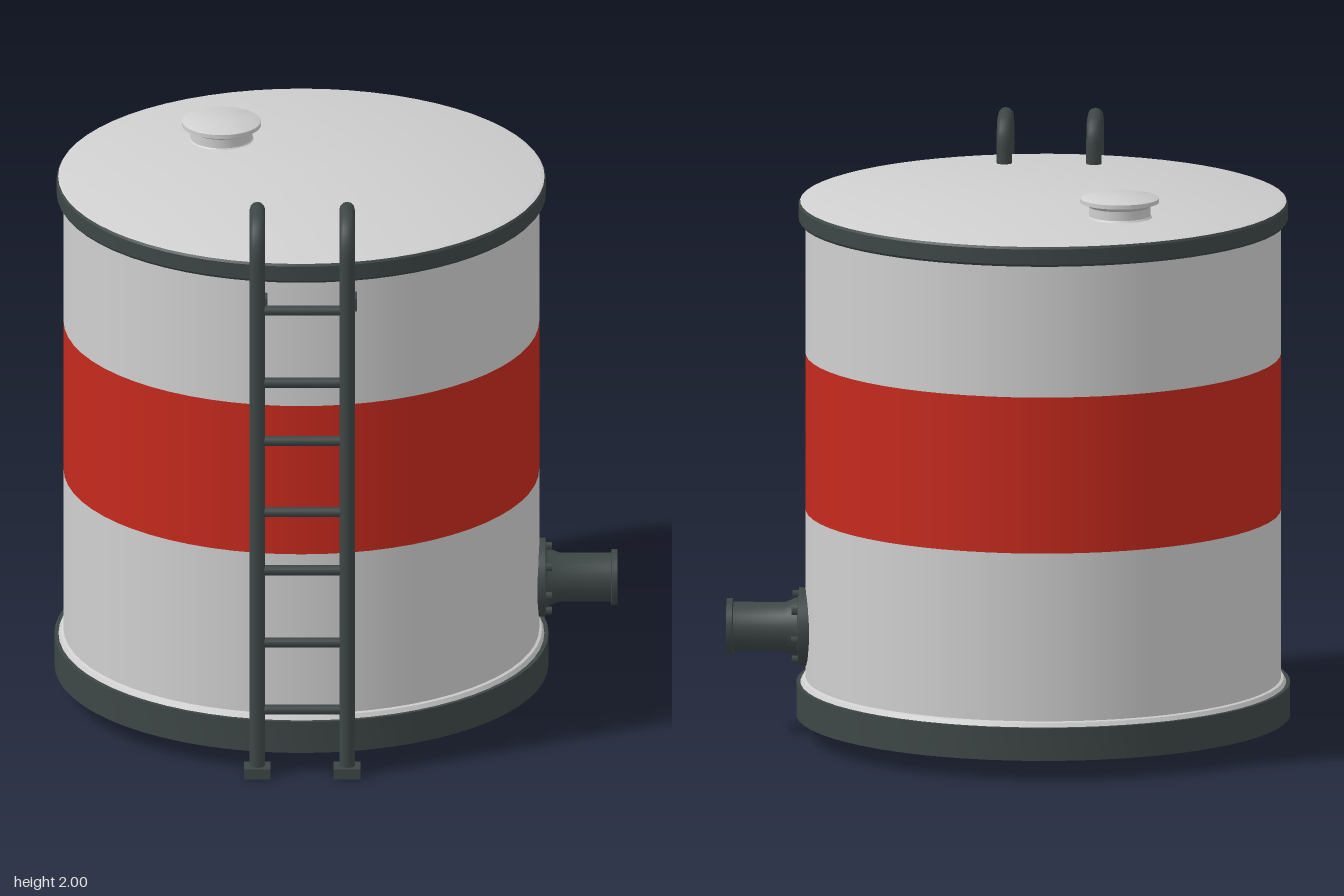
import * as THREE from 'three';
import { toCreasedNormals } from 'three/addons/utils/BufferGeometryUtils.js';

const mat = (name, color) => new THREE.MeshStandardMaterial({ name, color });

export function createModel() {
  const paint = mat('light grey paint', 0xcfcfcf);
  const red = mat('red paint', 0xc5291d);
  const steel = mat('dark steel', 0x3e4646);

  const model = new THREE.Group();
  model.name = 'storageTank';

  const add = (parent, name, geometry, material, x = 0, y = 0, z = 0) => {
    const mesh = new THREE.Mesh(geometry, material);
    mesh.name = name;
    mesh.position.set(x, y, z);
    parent.add(mesh);
    return mesh;
  };
  // Turned solid with crisp edges; profile is [radius, height] pairs
  const turned = (profile, segments) => toCreasedNormals(
    new THREE.LatheGeometry(profile.map(([r, h]) => new THREE.Vector2(r, h)), segments), 0.6);

  // Tank: hollow base skirt, painted wall bands, rim and shallow cone roof
  const tank = new THREE.Group();
  tank.name = 'tank';
  tank.position.set(-0.117, 0, -0.032);
  model.add(tank);
  const band = (name, y0, y1, material) =>
    add(tank, name, new THREE.CylinderGeometry(0.801, 0.801, y1 - y0, 64, 1, true), material, 0, (y0 + y1) / 2, 0);

  // The tank floor sits at the top of the skirt, so the underside is recessed
  add(tank, 'baseSkirt', turned([[0, 0.178], [0.8, 0.178], [0.8, 0.07], [0.832, 0.07], [0.832, 0.182], [0.795, 0.182]], 64), steel);
  add(tank, 'weldSeam', turned([[0.818, 0.182], [0.81, 0.196], [0.8, 0.2]], 64), paint);
  band('lowerWall', 0.18, 0.775, paint);
  band('redStripe', 0.775, 1.31, red);
  band('upperWall', 1.31, 1.8, paint);
  add(tank, 'topRim', turned([[0.795, 1.762], [0.818, 1.762], [0.824, 1.77], [0.824, 1.822], [0.818, 1.83], [0.795, 1.83]], 64), steel);
  add(tank, 'roof', turned([[0.819, 1.83], [0.805, 1.835], [0, 1.845]], 64), paint);

  // Roof hatch
  add(model, 'hatch', turned([[0.115, 1.832], [0.104, 1.845], [0.104, 1.876], [0.118, 1.886], [0.133, 1.89],
    [0.133, 1.904], [0.128, 1.907], [0, 1.908]], 32), paint, -0.386, 0, -0.357);

  // Outlet pipe pointing to the side, hollow at its end
  const outlet = new THREE.Group();
  outlet.name = 'outlet';
  outlet.position.set(0.663, 0.37, -0.067);
  outlet.rotation.z = -Math.PI / 2;
  model.add(outlet);
  add(outlet, 'outletPipe', turned([
    [0.133, 0], [0.133, 0.042], [0.1, 0.045], [0.083, 0.09], [0.083, 0.262], [0.095, 0.265],
    [0.095, 0.285], [0.068, 0.285], [0.068, 0.06], [0, 0.06]], 28), steel);
  for (let i = 0; i < 7; i++) {
    const a = Math.PI + i * Math.PI * 2 / 7;
    add(outlet, 'flangeBolt', new THREE.CylinderGeometry(0.013, 0.013, 0.024, 6), steel,
      Math.cos(a) * 0.113, 0.052, Math.sin(a) * 0.113);
  }

  // Ladder: two hooked rails with feet and wall brackets
  const ladder = new THREE.Group();
  ladder.name = 'ladder';
  model.add(ladder);
  const railZ = 0.826;
  const hookZ = 0.592;
  const V = (y, z) => new THREE.Vector3(0, y, z);
  const railPath = new THREE.CurvePath();
  railPath.add(new THREE.LineCurve3(V(0.02, railZ), V(1.86, railZ)));
  railPath.add(new THREE.CubicBezierCurve3(V(1.86, railZ), V(1.93, railZ), V(1.974, 0.785), V(1.974, 0.735)));
  railPath.add(new THREE.LineCurve3(V(1.974, 0.735), V(1.974, 0.675)));
  railPath.add(new THREE.CubicBezierCurve3(V(1.974, 0.675), V(1.974, 0.62), V(1.95, hookZ), V(1.895, hookZ)));
  railPath.add(new THREE.LineCurve3(V(1.895, hookZ), V(1.83, hookZ)));
  const railGeometry = new THREE.TubeGeometry(railPath, 120, 0.026, 12, false);

  for (const x of [-0.265, 0.037]) {
    add(ladder, 'rail', railGeometry, steel, x);
    add(ladder, 'foot', new THREE.BoxGeometry(0.09, 0.036, 0.074), steel, x, 0.018, 0.829);
    add(ladder, 'upperBracket', new THREE.BoxGeometry(0.045, 0.045, 0.08), steel, x + 0.011, 1.693, 0.777);
    add(ladder, 'lowerBracket', new THREE.BoxGeometry(0.045, 0.04, 0.08), steel, x + 0.003, 0.685, 0.78);
  }

  // Rungs
  for (const y of [0.235, 0.478, 0.738, 0.948, 1.205, 1.415, 1.675]) {
    const rung = add(ladder, 'rung', new THREE.CylinderGeometry(0.017, 0.017, 0.3, 10), steel, -0.114, y, 0.822);
    rung.rotation.z = Math.PI / 2;
  }

  return model;
}
